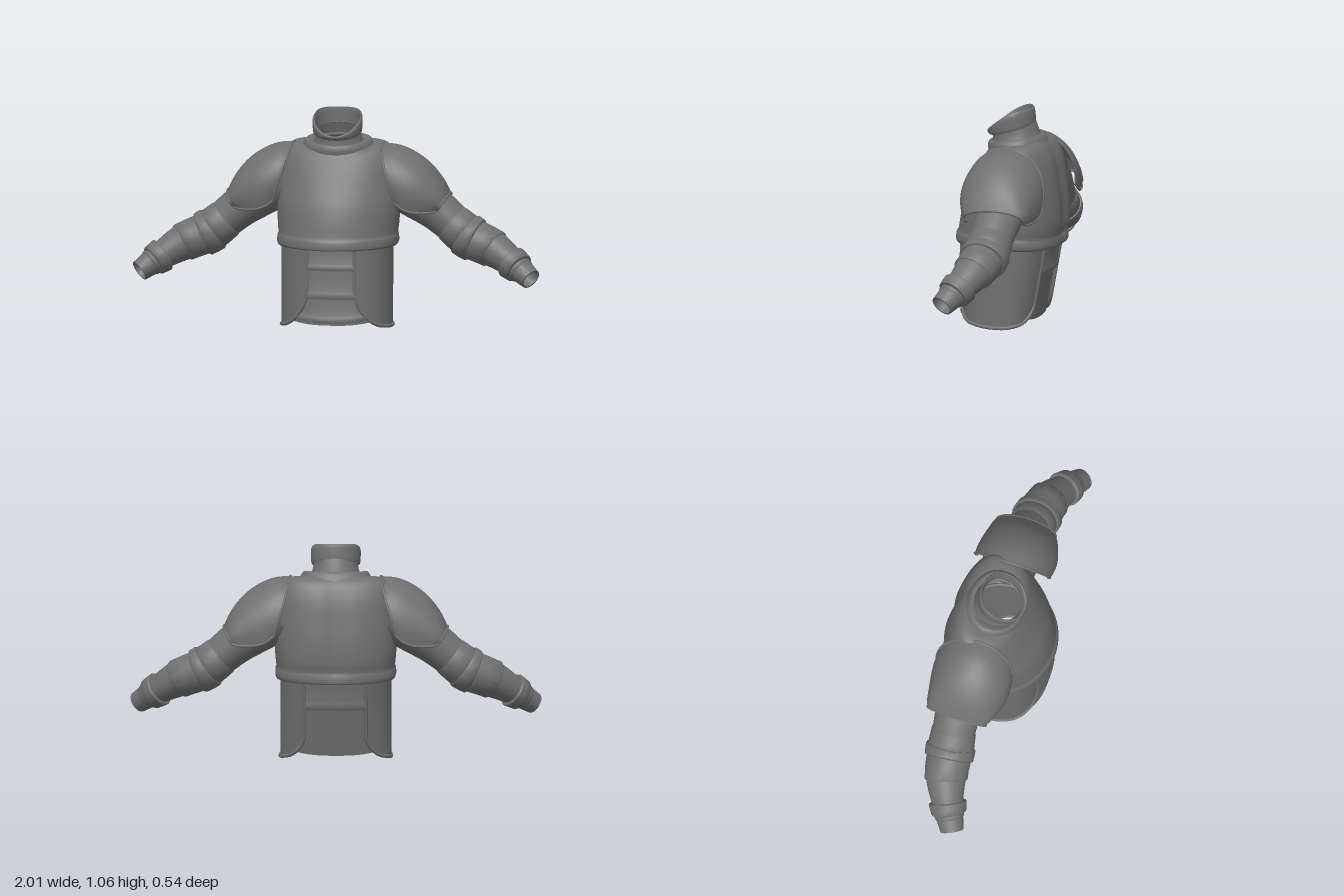
import * as THREE from 'three';
import { ParametricGeometry } from 'three/addons/geometries/ParametricGeometry.js';
import { toCreasedNormals } from 'three/addons/utils/BufferGeometryUtils.js';

const material = new THREE.MeshStandardMaterial({ color: 0x707070, side: THREE.DoubleSide });

// Interpolates rows of numbers at t in 0..1, as a spline or straight
function sample(rows, t, smooth = true) {
  const n = rows.length - 1;
  const i = Math.min(Math.floor(t * n + 1e-6), n - 1);
  const f = t * n - i;
  const [a, b, c, d] = [rows[Math.max(i - 1, 0)], rows[i], rows[i + 1], rows[Math.min(i + 2, n)]];
  return b.map((p, k) => {
    if (!smooth) return p + (c[k] - p) * f;
    const m0 = (c[k] - a[k]) / 2, m1 = (d[k] - p) / 2;
    return p + m0 * f + (3 * (c[k] - p) - 2 * m0 - m1) * f * f + (2 * (p - c[k]) + m0 + m1) * f ** 3;
  });
}

const power = (v, p) => Math.sign(v) * Math.abs(v) ** p;

function surface(parent, name, fn, nu, nv, crease = 0.7) {
  const mesh = new THREE.Mesh(toCreasedNormals(new ParametricGeometry(fn, nu, nv), crease), material);
  mesh.name = name;
  parent.add(mesh);
}

// Rolled border that follows the four edges of a surface
function rim(parent, name, fn, radius, n = 24) {
  const points = [];
  for (let side = 0; side < 4; side++) {
    for (let i = 0; i < n; i++) {
      const t = i / n, p = new THREE.Vector3();
      const [u, v] = [[t, 0], [1, t], [1 - t, 1], [0, 1 - t]][side];
      fn(u, v, p);
      points.push(p);
    }
  }
  const path = new THREE.CatmullRomCurve3(points, true);
  const mesh = new THREE.Mesh(new THREE.TubeGeometry(path, 160, radius, 8, true), material);
  mesh.name = name;
  parent.add(mesh);
}

// Closed tilted rings: half width, front z, front y, back z, back y, side lift
function rings(parent, name, rows, backPower = 0.85, groove = 0) {
  const fn = (u, v, p) => {
    const [hw, zf, yf, zb, yb, lift] = sample(rows, v);
    const th = u * Math.PI * 2;
    const c = power(Math.cos(th), Math.cos(th) < 0 ? backPower : 1);
    const k = (1 - c) / 2;
    const x = hw * Math.sin(th);
    const dent = c < 0 ? groove * Math.sin(Math.PI * v) * Math.exp(-((x / 0.05) ** 2)) : 0;
    p.set(x, yf + (yb - yf) * k + lift * Math.sin(th) ** 2, zf + (zb - zf) * k + dent);
  };
  surface(parent, name, fn, 72, (rows.length - 1) * 4);
}

// Waist cross-section: angle from the front, height, offset outward
function waistPoint(p, th, y, off) {
  const half = [0.222 + off, 0.14 + 0.2 * y + off];
  const c = power(Math.cos(th), 0.8);
  return p.set((0.258 + off) * power(Math.sin(th), 0.8), y, c * (c > 0 ? half[0] : half[1]));
}

// Horizontal plate whose lower edge stands proud
function lame(parent, name, mid, span, y0, y1, sag) {
  const rows = [[0, 0], [0.016, 0], [0.02, 0.12], [0.012, 0.3], [0.004, 1]];
  const fn = (u, v, p) => {
    const [off, h] = sample(rows, v, false);
    const a = (u - 0.5) * span;
    waistPoint(p, mid + a, y0 + (y1 - y0) * h + sag * a * a, off);
  };
  surface(parent, name, fn, 28, 8);
}

function addArm(side) {
  const path = new THREE.CatmullRomCurve3([
    [0.28, 0.7, -0.06], [0.48, 0.565, -0.06], [0.645, 0.435, -0.045],
    [0.76, 0.385, -0.025], [0.875, 0.315, 0.025], [0.967, 0.25, 0.078],
  ].map((a) => new THREE.Vector3(...a)));
  const sleeve = (name, rows, steps) => {
    const fn = (u, v, p) => {
      const [t, r] = sample(rows, v, false);
      const T = path.getTangent(t);
      const A = new THREE.Vector3(0, 0, 1).addScaledVector(T, -T.z).normalize();
      const B = T.clone().cross(A);
      const a = u * Math.PI * 2;
      p.copy(path.getPoint(t)).addScaledVector(A, 1.1 * r * Math.cos(a)).addScaledVector(B, r * Math.sin(a));
    };
    surface(side, name, fn, 32, (rows.length - 1) * steps);
  };
  const band = (name, t0, t1, r0, r1, inner) => sleeve(name, [
    [t0, inner], [t0, r0 - 0.004], [t0 + 0.008, r0], [t1 - 0.008, r1], [t1, r1 - 0.004], [t1, inner],
  ], 2);

  sleeve('arm', [
    [0, 0.125], [0.1, 0.115], [0.2, 0.102], [0.3, 0.095], [0.4, 0.095], [0.5, 0.096], [0.6, 0.091],
    [0.7, 0.079], [0.8, 0.066], [0.9, 0.06], [1, 0.052], [1, 0.045], [0.88, 0.042],
  ], 4);
  band('elbowGuard', 0.29, 0.38, 0.1, 0.104, 0.08);
  band('elbowCuff', 0.37, 0.45, 0.112, 0.11, 0.08);
  band('forearmPlate', 0.45, 0.62, 0.1, 0.096, 0.075);
  band('wristCuff', 0.77, 0.86, 0.085, 0.078, 0.052);
  band('wristBand', 0.86, 0.9, 0.067, 0.064, 0.05);
}

function addShoulder(side) {
  // Arches: crown x, crown y, foot x, foot y, front z, back z
  const arches = [
    [0.22, 0.89, 0.3, 0.62, 0.17, -0.25],
    [0.3, 0.882, 0.335, 0.592, 0.178, -0.253],
    [0.38, 0.848, 0.38, 0.575, 0.175, -0.248],
    [0.452, 0.793, 0.43, 0.57, 0.157, -0.238],
    [0.512, 0.717, 0.48, 0.572, 0.132, -0.228],
    [0.547, 0.645, 0.505, 0.58, 0.112, -0.215],
  ];
  const fn = (u, v, p) => {
    const [tx, ty, bx, by, zf, zb] = sample(arches, v);
    const a = Math.PI * (1 - u);
    const w = Math.max(Math.sin(a), 0) ** 0.85;
    const c = Math.cos(a);
    const tuck = 1 - (c > 0 ? 0.18 : 0.07) * (1 - w) ** 2.5;
    p.set(bx + (tx - bx) * w, by + (ty - by) * w, (zf + zb) / 2 + (zf - zb) / 2 * c * tuck);
  };
  surface(side, 'shoulderPlate', fn, 40, 28, 1);
  rim(side, 'shoulderRim', fn, 0.006);
}

function addSidePanel(side) {
  const corner = (y, h) => 1 - Math.sqrt(Math.max(0, 1 - Math.max(0, (h - y) / h) ** 2));
  const fn = (u, v, p) => {
    const y = 0.002 + 0.418 * v ** 2;
    const front = 0.36 + 0.8 * corner(y, 0.19);
    const back = Math.PI - 0.5 - 0.6 * corner(y, 0.12);
    waistPoint(p, front + (back - front) * u, y + 0.012 * (1 - v) * (1 - Math.sin(Math.PI * u)), 0.013);
  };
  surface(side, 'sidePanel', fn, 40, 28, 1);
  rim(side, 'sidePanelRim', fn, 0.009);
}

export function createModel() {
  const model = new THREE.Group();
  model.name = 'torsoArmour';

  // Breast and back plate with a soft lower lip and sloping shoulders
  rings(model, 'chestPlate', [
    [0.265, 0.235, 0.405, -0.23, 0.395, 0],
    [0.286, 0.266, 0.392, -0.258, 0.385, 0.004],
    [0.295, 0.272, 0.408, -0.266, 0.4, 0.006],
    [0.294, 0.268, 0.435, -0.265, 0.425, 0.008],
    [0.29, 0.259, 0.452, -0.263, 0.442, 0.008],
    [0.295, 0.247, 0.52, -0.272, 0.5, 0],
    [0.298, 0.225, 0.6, -0.268, 0.6, 0],
    [0.292, 0.185, 0.69, -0.254, 0.7, 0.01],
    [0.278, 0.15, 0.765, -0.236, 0.79, 0.03],
    [0.248, 0.125, 0.815, -0.208, 0.858, 0.035],
    [0.2, 0.11, 0.846, -0.18, 0.89, 0.022],
    [0.145, 0.1, 0.865, -0.15, 0.908, 0],
  ], 0.6, 0.016);

  // Neck: sloped collar, throat and flared top guard
  rings(model, 'collar', [
    [0.176, 0.112, 0.845, -0.193, 0.858, 0.02], [0.17, 0.116, 0.865, -0.182, 0.882, 0.02],
    [0.157, 0.111, 0.884, -0.16, 0.92, 0.01], [0.143, 0.102, 0.89, -0.146, 0.926, 0.005],
    [0.115, 0.09, 0.88, -0.125, 0.92, 0],
  ]);
  rings(model, 'throat', [
    [0.124, 0.097, 0.87, -0.143, 0.91, 0], [0.112, 0.093, 0.9, -0.13, 0.95, 0],
    [0.108, 0.094, 0.925, -0.115, 0.99, 0],
  ]);
  rings(model, 'neckGuard', [
    [0.108, 0.098, 0.915, -0.108, 0.98, 0], [0.119, 0.111, 0.918, -0.116, 0.982, 0],
    [0.122, 0.121, 0.93, -0.11, 1.04, 0.018], [0.118, 0.119, 0.937, -0.104, 1.054, 0.024],
    [0.111, 0.108, 0.937, -0.098, 1.05, 0.024], [0.106, 0.094, 0.92, -0.1, 0.985, 0],
  ]);

  // Waist lining and overlapping plates
  surface(model, 'waist', (u, v, p) => {
    const th = u * Math.PI * 2;
    waistPoint(p, th, 0.035 + 0.385 * v, 0);
    p.y += 0.015 * (1 - v) * Math.cos(th * 2 + Math.PI);
  }, 64, 12);
  lame(model, 'frontLameTop', 0, 0.7, 0.29, 0.41, 0);
  lame(model, 'frontLameMiddle', 0, 0.7, 0.15, 0.3, 0);
  lame(model, 'frontLameBottom', 0, 1.2, 0.03, 0.16, 0.05);
  lame(model, 'backLame', Math.PI, 0.96, 0.25, 0.41, 0);

  // Mirrored sides
  for (const [name, sx] of [['left', 1], ['right', -1]]) {
    const side = new THREE.Group();
    side.name = name + 'Side';
    side.scale.x = sx;
    addArm(side);
    addShoulder(side);
    addSidePanel(side);
    model.add(side);
  }
  return model;
}
